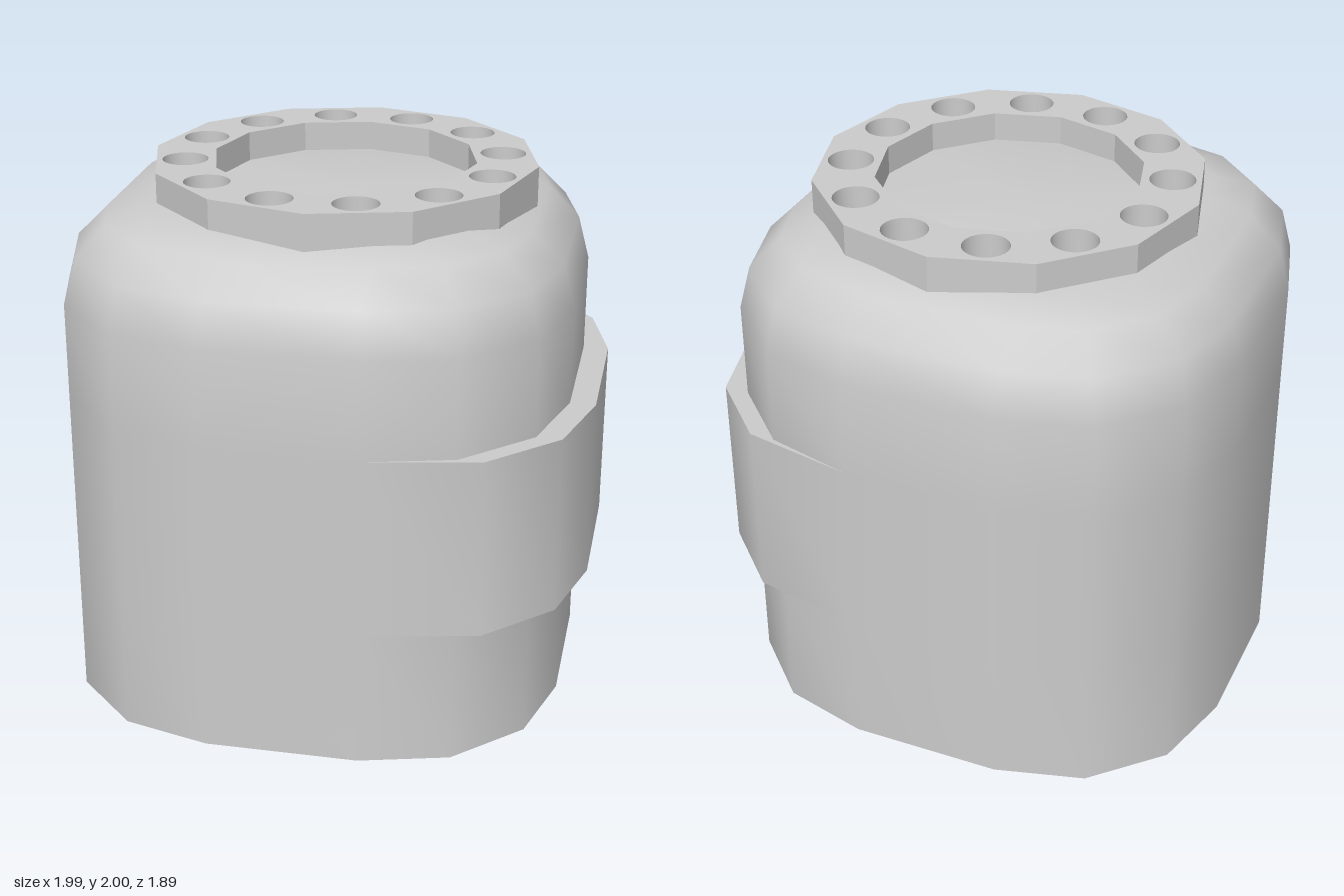
import * as THREE from 'three';
import { toCreasedNormals } from 'three/addons/utils/BufferGeometryUtils.js';

const material = new THREE.MeshStandardMaterial({ color: 0xcccccc });

const HALF = 0.945;    // half width of the rounded-square body
const CORNER = 0.66;   // radius of its upright corners
const BEVEL = 0.32;    // radius of the rounded shoulder
const CENTRE_X = -0.05;
const SHOULDER_Y = 1.57;

// Rounded-square cross-section, three facets per corner; bulge pushes the +x side out.
function section(y, inset = 0, bulge = 0) {
  const points = [];
  const c = HALF - CORNER;
  const r = CORNER - inset;
  for (let corner = 0; corner < 4; corner++) {
    const sx = corner === 0 || corner === 3 ? 1 : -1;
    const sz = corner < 2 ? 1 : -1;
    for (let i = 0; i <= 3; i++) {
      const a = (corner + i / 3) * Math.PI / 2;
      const tangent = (corner === 0 && i === 3) || (corner === 3 && i === 0);
      const push = sx > 0 && !tangent ? bulge : 0;
      points.push(new THREE.Vector3(
        CENTRE_X + sx * c + r * Math.cos(a) + push, y, sz * c + r * Math.sin(a)));
    }
  }
  return points;
}

// All points gathered at the centre, to close an end.
const cap = (y) => Array.from({ length: 16 }, () => new THREE.Vector3(CENTRE_X, y, 0));

// Skin a stack of sections, leaving out triangles without area.
function loft(sections, crease) {
  const positions = [];
  const triangle = (...corners) => {
    if (new THREE.Triangle(...corners).getArea() < 1e-6) return;
    for (const p of corners) positions.push(p.x, p.y, p.z);
  };
  for (let s = 0; s < sections.length - 1; s++) {
    const low = sections[s];
    const high = sections[s + 1];
    for (let i = 0; i < low.length; i++) {
      const j = (i + 1) % low.length;
      triangle(low[i], high[i], high[j]);
      triangle(low[i], high[j], low[j]);
    }
  }
  const geometry = new THREE.BufferGeometry();
  geometry.setAttribute('position', new THREE.Float32BufferAttribute(positions, 3));
  return toCreasedNormals(geometry, crease);
}

// Regular polygon outline.
function polygon(radius, sides, x = 0, y = 0) {
  return Array.from({ length: sides }, (_, i) => {
    const a = i / sides * Math.PI * 2;
    return new THREE.Vector2(x + radius * Math.cos(a), y + radius * Math.sin(a));
  });
}

export function createModel() {
  const model = new THREE.Group();
  model.name = 'roundedCanister';

  // Body with a raised band wrapped around its left side and a rounded shoulder.
  const sections = [
    cap(0), section(0),
    section(0.52), section(0.52, 0, 0.095),
    section(1.2, 0, 0.095), section(1.2),
  ];
  for (let i = 0; i <= 3; i++) {
    const a = i / 3 * Math.PI / 2;
    sections.push(section(SHOULDER_Y + BEVEL * Math.sin(a), BEVEL * (1 - Math.cos(a))));
  }
  sections.push(cap(SHOULDER_Y + BEVEL));
  const body = new THREE.Mesh(loft(sections, 0.7), material);
  body.name = 'bodyWithSideBand';
  model.add(body);

  // Twelve-sided flange ring with an open middle and a bolt hole in each side.
  const shape = new THREE.Shape(polygon(0.72, 12));
  shape.holes.push(new THREE.Path(polygon(0.493, 12)));
  for (let i = 0; i < 12; i++) {
    const a = (i + 0.5) * Math.PI / 6;
    shape.holes.push(new THREE.Path(polygon(0.085, 24, 0.59 * Math.cos(a), 0.59 * Math.sin(a))));
  }
  const flange = new THREE.ExtrudeGeometry(shape, { depth: 0.2, bevelEnabled: false });
  flange.rotateX(-Math.PI / 2);
  const ring = new THREE.Mesh(toCreasedNormals(flange, 0.4), material);
  ring.name = 'flangeRing';
  ring.position.y = 1.8;
  model.add(ring);

  return model;
}
